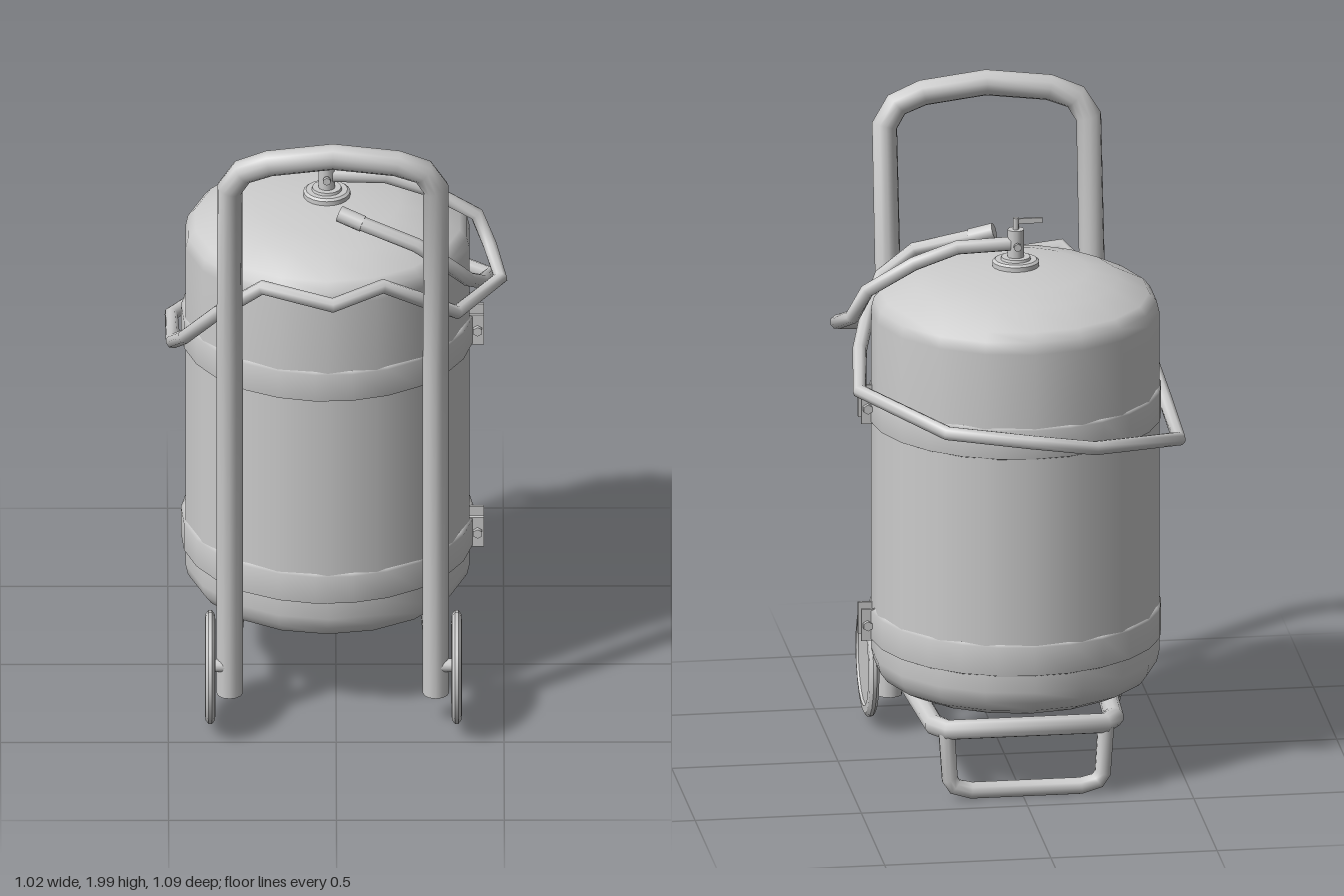
import * as THREE from 'three';
import { toCreasedNormals } from 'three/addons/utils/BufferGeometryUtils.js';

const material = new THREE.MeshStandardMaterial({ color: 0xcccccc });
const thin = new THREE.MeshStandardMaterial({ color: 0xcccccc, side: THREE.DoubleSide });

// Straight-segment path: one tube ring at every corner, tilted to the bisector.
class BentPath extends THREE.Curve {
  constructor(points) {
    super();
    this.points = points.map((p) => new THREE.Vector3(...p));
  }
  getPoint(t, target = new THREE.Vector3()) {
    const last = this.points.length - 1;
    const i = Math.min(Math.floor(t * last + 1e-6), last - 1);
    return target.lerpVectors(this.points[i], this.points[i + 1], t * last - i);
  }
  getPointAt(t, target) { return this.getPoint(t, target); }
  getTangentAt(t, target = new THREE.Vector3()) {
    const p = this.points, i = Math.round(t * (p.length - 1));
    target.set(0, 0, 0);
    if (i > 0) target.add(p[i].clone().sub(p[i - 1]).normalize());
    if (i < p.length - 1) target.add(p[i + 1].clone().sub(p[i]).normalize());
    return target.normalize();
  }
}

function add(parent, name, geometry, x = 0, y = 0, z = 0, mat = material) {
  const mesh = new THREE.Mesh(geometry, mat);
  mesh.name = name;
  mesh.position.set(x, y, z);
  parent.add(mesh);
  return mesh;
}

// Bent tube with flat end caps
function bentTube(parent, name, points, radius, sides = 10) {
  const path = new BentPath(points);
  const group = new THREE.Group();
  group.name = name;
  add(group, name + 'Tube', new THREE.TubeGeometry(path, points.length - 1, radius, sides, false));
  for (const t of [0, 1]) {
    const p = path.getPoint(t);
    const cap = add(group, name + 'End', new THREE.CircleGeometry(radius, sides), p.x, p.y, p.z);
    cap.lookAt(p.clone().addScaledVector(path.getTangentAt(t), t ? 1 : -1));
  }
  parent.add(group);
}

const lathe = (profile, sides, start = 0, length = Math.PI * 2) =>
  new THREE.LatheGeometry(profile.map(([r, y]) => new THREE.Vector2(r, y)), sides, start, length);
const cyl = (r, h, sides = 12) => new THREE.CylinderGeometry(r, r, h, sides);

export function createModel() {
  const model = new THREE.Group();
  model.name = 'wheeledExtinguisher';
  const cx = -0.025, cz = -0.055;

  // Pressure tank
  add(model, 'tank', lathe([
    [0, 0.25], [0.25, 0.255], [0.35, 0.27], [0.4, 0.295], [0.422, 0.325], [0.43, 0.36],
    [0.43, 0.41], [0.43, 1.19], [0.43, 1.42], [0.422, 1.455], [0.4, 1.48],
    [0.31, 1.525], [0.22, 1.547], [0.1, 1.56], [0, 1.562],
  ], 18), cx, 0, cz);

  // Split bands with bolted clamp tabs
  for (const y of [0.46, 1.14]) {
    const clamp = new THREE.Group();
    clamp.name = 'bandClamp';
    clamp.position.set(cx, y, cz);
    const gapStart = THREE.MathUtils.degToRad(92);
    const arc = THREE.MathUtils.degToRad(350.7);
    add(clamp, 'band', lathe([[0.424, -0.05], [0.437, -0.044], [0.437, 0.044], [0.424, 0.05]],
      24, gapStart, arc), 0, 0, 0, thin);
    for (const z of [0.055, -0.015]) {
      add(clamp, 'clampTab', new THREE.BoxGeometry(0.045, 0.098, 0.01), 0.443, 0, z);
    }
    const bolt = add(clamp, 'clampBolt', cyl(0.008, 0.11, 8), 0.447, 0, 0.02);
    bolt.rotation.x = Math.PI / 2;
    for (const z of [0.068, -0.028]) {
      const nut = add(clamp, 'clampNut', cyl(0.015, 0.014, 6), 0.447, 0, z);
      nut.rotation.x = Math.PI / 2;
    }
    model.add(clamp);
  }

  // Push handle and uprights
  const half = [[0.307, 0.1, 0.35], [0.307, 1.21, 0.35], [0.307, 1.85, 0.45], [0.27, 1.91, 0.46], [0.19, 1.942, 0.466]];
  const shift = ([x, y, z], side) => [x * side - 0.01, y, z];
  bentTube(model, 'pushHandle', [
    ...half.map((p) => shift(p, -1)), [-0.01, 1.965, 0.468],
    ...half.map((p) => shift(p, 1)).reverse(),
  ], 0.039, 12);

  // Base frame under the tank
  const base = [[0.305, 0.23, 0.35], [0.27, 0.23, -0.35], [0.235, 0.23, -0.405]];
  bentTube(model, 'baseFrame', [
    ...base.map((p) => shift(p, -1)), ...base.map((p) => shift(p, 1)).reverse(),
  ], 0.031);

  // Front foot loop
  const foot = [[0.24, 0.23, -0.4], [0.23, 0.075, -0.4], [0.215, 0.05, -0.4], [0.165, 0.036, -0.4]];
  bentTube(model, 'footLoop', [
    ...foot.map((p) => shift(p, -1)), ...foot.map((p) => shift(p, 1)).reverse(),
  ], 0.025);

  // Wheels with raised rims
  const wheelGeometry = toCreasedNormals(lathe([
    [0, -0.009], [0.132, -0.009], [0.136, -0.016], [0.158, -0.014], [0.17, -0.005],
    [0.17, 0.005], [0.158, 0.014], [0.136, 0.016], [0.132, 0.009], [0, 0.009],
  ], 18), 0.5);
  for (const side of [-1, 1]) {
    const wheel = add(model, 'wheel', wheelGeometry, side * 0.367 - 0.008, 0.2, 0.375);
    wheel.rotation.z = Math.PI / 2;
    const axle = add(model, 'axleStub', cyl(0.02, 0.06), side * 0.335 - 0.01, 0.2, 0.365);
    axle.rotation.z = Math.PI / 2;
  }

  // Valve with collar, cross port and lever
  const valve = new THREE.Group();
  valve.name = 'valve';
  valve.position.set(-0.027, 0, cz);
  add(valve, 'collar', toCreasedNormals(lathe([
    [0.05, 1.54], [0.052, 1.562], [0.07, 1.562], [0.07, 1.576], [0.062, 1.582],
    [0.045, 1.582], [0.043, 1.59], [0, 1.59],
  ], 20), 0.5));
  add(valve, 'valveStem', cyl(0.025, 0.1), 0, 1.625, 0);
  add(valve, 'spindle', cyl(0.009, 0.04, 8), 0, 1.69, 0);
  add(valve, 'lever', new THREE.BoxGeometry(0.088, 0.016, 0.008), -0.036, 1.7, 0);
  const port = add(valve, 'crossPort', cyl(0.008, 0.08, 8), 0, 1.63, 0);
  port.rotation.x = Math.PI / 2;
  for (const z of [-0.04, 0.04]) {
    const cap = add(valve, 'portCap', cyl(0.012, 0.012, 8), 0, 1.63, z);
    cap.rotation.x = Math.PI / 2;
  }
  model.add(valve);

  // Hose from the valve, once around the tank, back to the top
  bentTube(model, 'hose', [
    [-0.01, 1.63, -0.055], [0.15, 1.625, -0.055], [0.28, 1.58, -0.055], [0.42, 1.5, -0.05],
    [0.46, 1.41, -0.02], [0.49, 1.36, 0.09], [0.36, 1.31, 0.215], [0.26, 1.41, 0.33],
    [0.14, 1.468, 0.35], [-0.01, 1.435, 0.41], [-0.22, 1.475, 0.37], [-0.35, 1.35, 0.29],
    [-0.45, 1.22, 0.2], [-0.485, 1.1, 0], [-0.49, 1.06, -0.25], [-0.2, 1.13, -0.515],
    [-0.01, 1.16, -0.525], [0.235, 1.18, -0.465], [0.46, 1.23, -0.18], [0.435, 1.3, 0],
    [0.395, 1.37, 0.12], [0.34, 1.46, 0.21], [0.24, 1.535, 0.215], [0.07, 1.585, 0.165],
  ], 0.022, 8);

  // Discharge nozzle
  bentTube(model, 'nozzle', [[0.08, 1.582, 0.168], [0.01, 1.605, 0.146]], 0.025);

  return model;
}
